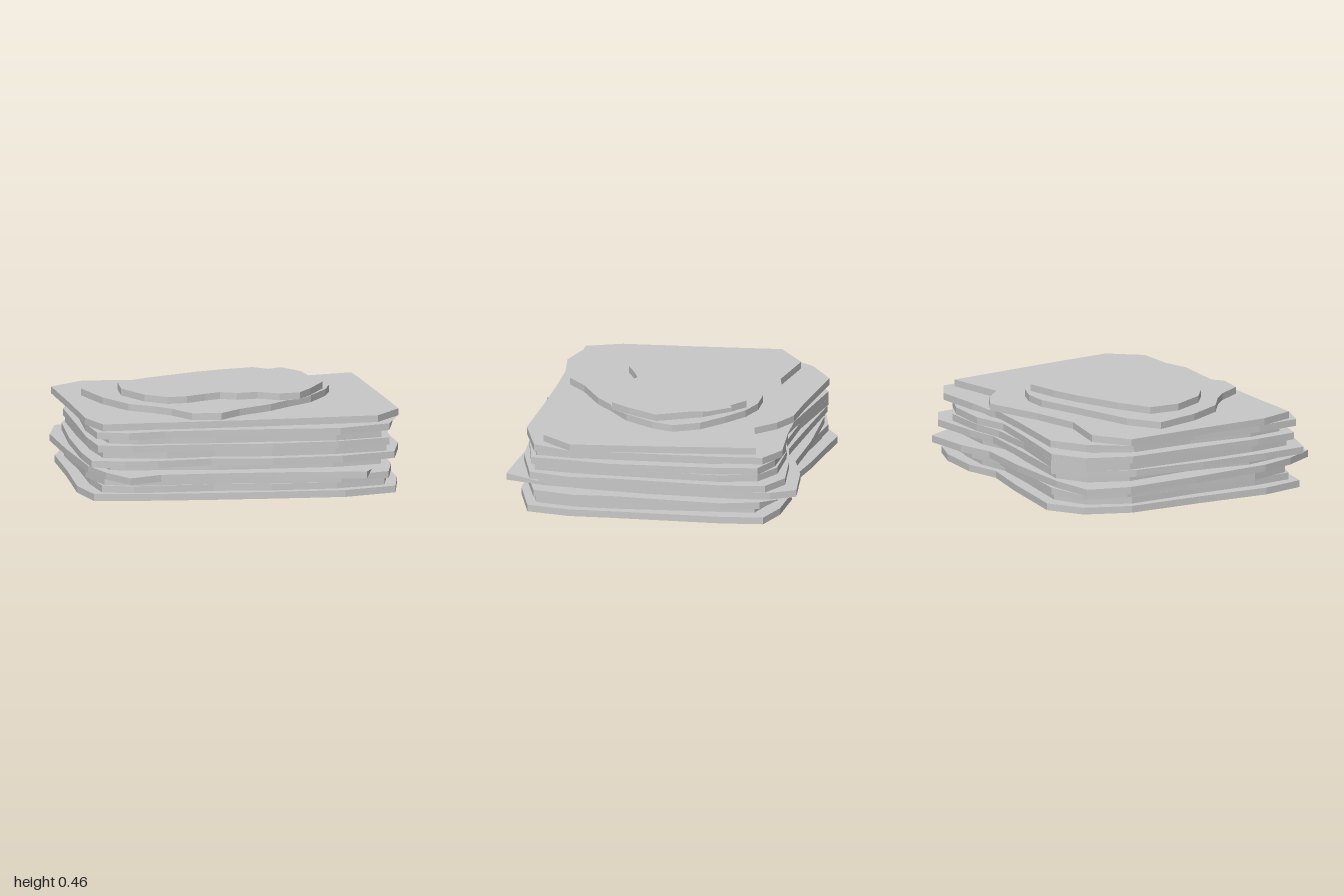
import * as THREE from 'three';

const STEP = 0.0353; // thickness of one slab

// Typical slab outline [x, z], from the left corner through the front, right and back
const slab = [
  [-1, -0.03], [-0.91, 0.12], [-0.78, 0.24], [-0.58, 0.42], [-0.35, 0.64],
  [-0.07, 0.88], [0.19, 1], [0.37, 0.87], [0.51, 0.71], [0.9, 0.26],
  [1, 0.07], [0.94, -0.09], [0.75, -0.28], [0.57, -0.38], [0.36, -0.62],
  [0.07, -0.96], [-0.14, -1], [-0.37, -0.89], [-0.62, -0.56], [-0.9, -0.25],
];
const corners = [0, 6, 10, 16];

// Reach of each lower slab towards -x, +x, +z, -z
const reach = [
  [0.98, 0.98, 0.99, 0.95], [0.92, 0.89, 0.93, 0.88], [0.9, 0.94, 0.95, 0.93],
  [0.96, 0.96, 0.99, 0.99], [0.86, 0.87, 0.91, 0.84], [1, 1, 0.98, 0.89],
  [0.91, 0.92, 0.94, 0.9], [0.95, 0.92, 0.96, 0.9], [0.87, 0.83, 0.92, 0.78],
  [0.96, 0.97, 0.95, 0.9],
];

// The one lower slab that lies turned against the others
const turnedIndex = 3;
const turned = [
  [-0.92, 0], [-0.95, 0.19], [-0.78, 0.25], [-0.58, 0.43], [-0.35, 0.65],
  [-0.03, 0.985], [0.15, 0.86], [0.35, 0.67], [0.53, 0.49], [0.85, 0.12],
  [0.93, 0], [0.96, -0.14], [0.75, -0.29], [0.57, -0.37], [0.34, -0.6],
  [0.04, -0.86], [-0.17, -0.99], [-0.36, -0.86], [-0.6, -0.54], [-0.85, -0.18],
];

// The wide top slab and the two small slabs lying on it
const plateau = [
  [-0.92, -0.02], [-0.84, 0.05], [-0.72, 0.15], [-0.55, 0.3], [-0.35, 0.47],
  [0, 0.75], [0.17, 0.885], [0.37, 0.85], [0.5, 0.67], [0.72, 0.35],
  [0.91, 0.07], [0.63, -0.09], [0.62, -0.23], [0.57, -0.36], [0.27, -0.48],
  [0.04, -0.6], [-0.14, -0.83], [-0.36, -0.85], [-0.62, -0.5], [-0.85, -0.2],
];
const upper = [
  [-0.57, -0.15], [-0.53, 0], [-0.52, 0.1], [-0.54, 0.25], [-0.44, 0.36],
  [-0.3, 0.36], [-0.1, 0.4], [0.03, 0.4], [0.2, 0.41], [0.37, 0.36],
  [0.47, 0.3], [0.51, 0.16], [0.49, 0], [0.46, -0.14], [0.4, -0.25],
  [0.3, -0.34], [0.08, -0.43], [-0.24, -0.57], [-0.43, -0.59], [-0.53, -0.36],
];
const summit = [
  [-0.47, -0.13], [-0.44, 0], [-0.36, 0.06], [-0.25, 0.09], [-0.17, 0.12],
  [-0.13, 0.2], [-0.04, 0.26], [0, 0.37], [0.09, 0.43], [0.21, 0.4],
  [0.37, 0.34], [0.4, 0.24], [0.44, 0.1], [0.44, -0.07], [0.42, -0.17],
  [0.26, -0.26], [0.12, -0.32], [-0.13, -0.4], [-0.32, -0.44], [-0.43, -0.32],
];
// Thin flake covering the front of the summit
const flake = [
  [-0.38, -0.29], [-0.32, -0.08], [-0.17, 0.12], [-0.13, 0.2], [-0.04, 0.26],
  [0, 0.37], [0.09, 0.43], [0.21, 0.4], [0.37, 0.34], [0.4, 0.24],
  [0.48, 0.1], [0.49, -0.04],
];

function makeRandom(seed) {
  return () => (seed = (seed * 16807) % 2147483647) / 2147483647;
}

// Strip of flat faces between two outlines at given heights
function band(low, yLow, high, yHigh) {
  const pos = [];
  low.forEach((p, i) => {
    const j = (i + 1) % low.length;
    const a = [p[0], yLow, p[1]], b = [low[j][0], yLow, low[j][1]];
    const c = [high[j][0], yHigh, high[j][1]], d = [high[i][0], yHigh, high[i][1]];
    pos.push(...a, ...b, ...c, ...a, ...c, ...d);
  });
  const geo = new THREE.BufferGeometry();
  geo.setAttribute('position', new THREE.Float32BufferAttribute(pos, 3));
  geo.computeVertexNormals();
  return geo;
}

// Flat lid fanned out from a middle point
function lid(outline, y) {
  return band(outline, y, outline.map(() => [0.08, 0.02]), y);
}

export function createModel() {
  const group = new THREE.Group();
  group.name = 'layeredRock';
  const stone = new THREE.MeshStandardMaterial({
    color: 0xc8c8c8, flatShading: true, side: THREE.DoubleSide,
  });
  stone.name = 'greyStone';
  const add = (geo, name) => {
    const mesh = new THREE.Mesh(geo, stone);
    mesh.name = name;
    group.add(mesh);
  };

  // Lower slabs: the typical outline stretched per side, with uneven edges
  const random = makeRandom(71);
  const outlines = reach.map(([left, right, front, back]) => slab.map(([x, z], i) => {
    const k = corners.includes(i) ? 1 : 0.96 + random() * 0.05;
    return [x * k * (x < 0 ? left : right), z * k * (z < 0 ? back : front)];
  }));
  outlines[turnedIndex] = turned;
  outlines.push(plateau, upper, summit);

  // Hollow shell: a wall for each slab and a ledge leading to the next one
  outlines.forEach((outline, i) => {
    const top = (i + 1) * STEP;
    add(band(outline, i * STEP, outline, top), `slabWall${i + 1}`);
    const next = outlines[i + 1];
    if (next) add(band(outline, top, next, top), `ledge${i + 1}`);
  });
  const height = outlines.length * STEP;
  add(lid(summit, height), 'summitTop');
  add(lid(flake, height + 0.006), 'summitFlake');

  return group;
}
